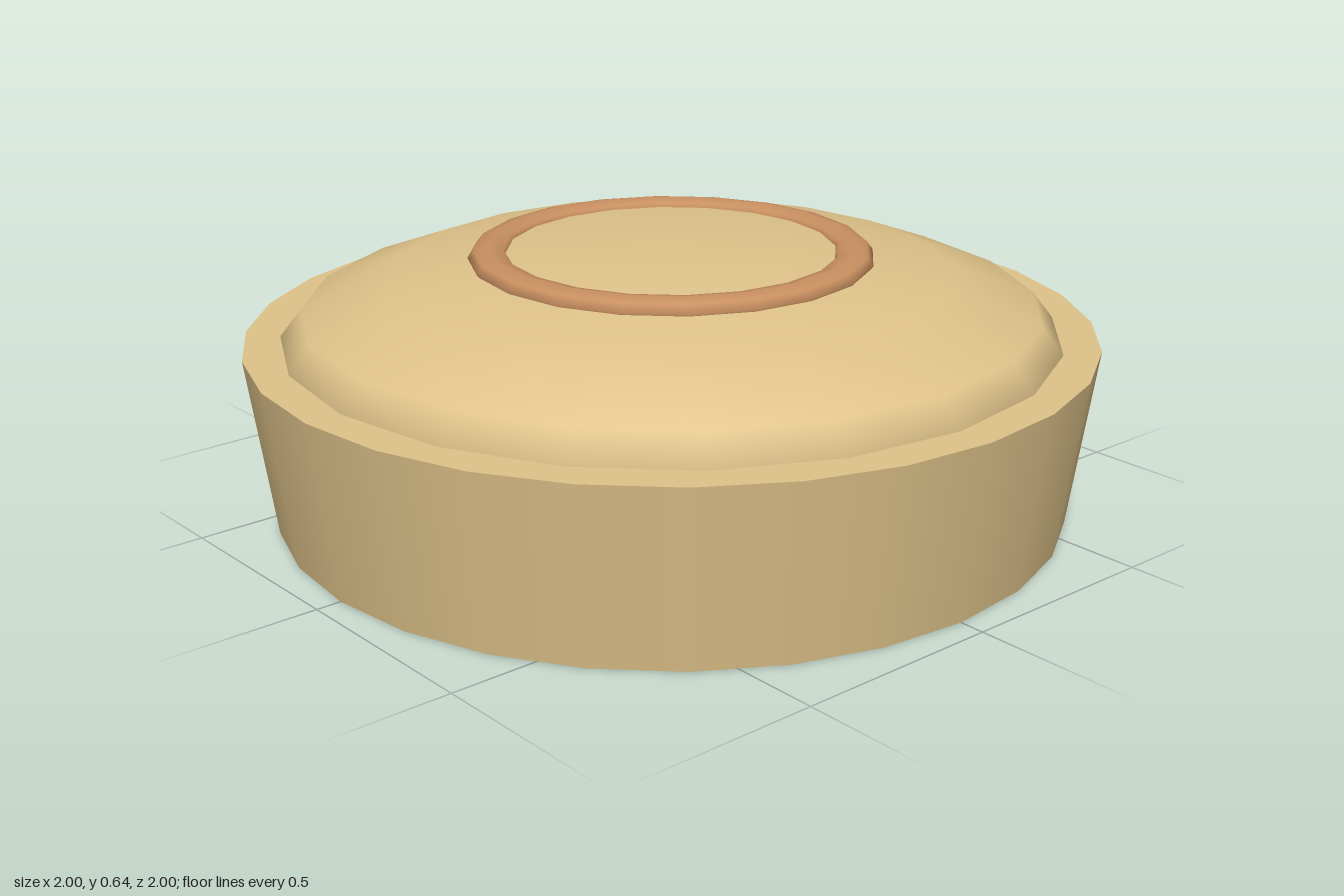
import * as THREE from 'three';

export function createModel() {
  const model = new THREE.Group();
  const tan = new THREE.MeshStandardMaterial({ color: 0xdec289 });
  const copper = new THREE.MeshStandardMaterial({ color: 0xc88f60 });

  const add = (name, geometry, material, y) => {
    const mesh = new THREE.Mesh(geometry, material);
    mesh.name = name;
    mesh.position.y = y;
    model.add(mesh);
    return mesh;
  };

  // Tapered round base, wider at the top
  const baseHeight = 0.425;
  add('base', new THREE.CylinderGeometry(1, 0.94, baseHeight, 28), tan, baseHeight / 2);

  // Flattened dome, its rim sunk slightly into the base
  const dome = add('dome',
    new THREE.SphereGeometry(0.936, 20, 4, 0, Math.PI * 2, 0, Math.PI / 2), tan, 0.398);
  dome.scale.y = 0.24 / 0.936;

  // Flattened ring lying on the dome
  const ringGeometry = new THREE.TorusGeometry(0.427, 0.048, 8, 20).rotateX(-Math.PI / 2);
  const ring = add('ring', ringGeometry, copper, 0.605);
  ring.scale.y = 0.56;

  return model;
}
